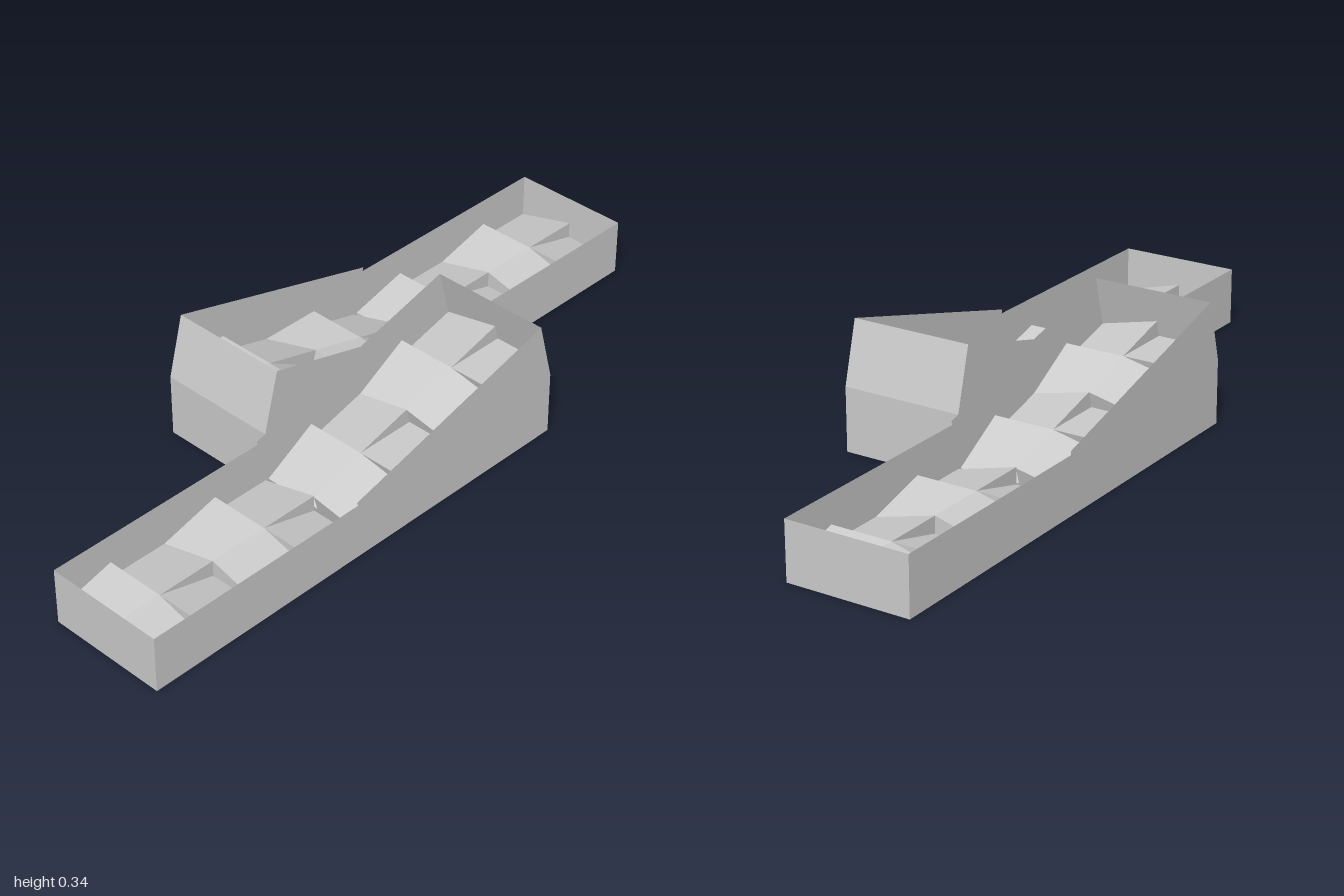
import * as THREE from 'three';

const WIDTH = 0.335;            // width of one lane
const CELL = 1 / 6;             // length of one wedge
const TILT = THREE.MathUtils.degToRad(15);
const BASE = 0.033;             // low edge of a wedge
const RISE = CELL * Math.tan(TILT);
const FLAT_WALL = 0.155;        // wall height beside the flat half
const RAMP_WALL = 0.171;        // wall height beside the tilted half
const RAMP_Z = 0.314;           // hinge of the tilted half
const END_Z = -0.33;

const material = new THREE.MeshStandardMaterial({
  color: 0xcccccc, flatShading: true, side: THREE.DoubleSide,
});

function add(parent, name, geometry, x = 0, y = 0, z = 0) {
  const mesh = new THREE.Mesh(geometry, material);
  mesh.name = name;
  mesh.position.set(x, y, z);
  parent.add(mesh);
  return mesh;
}

// Block whose top slopes up towards (dirX, dirZ)
function wedgeGeometry(dirX, dirZ) {
  const w = WIDTH / 2;
  const geometry = new THREE.BoxGeometry(w, 1, CELL);
  const p = geometry.attributes.position;
  for (let i = 0; i < p.count; i++) {
    const along = 0.5 + dirX * p.getX(i) / w + dirZ * p.getZ(i) / CELL;
    p.setY(i, p.getY(i) > 0 ? BASE + RISE * along : 0.002);
  }
  geometry.computeVertexNormals();
  return geometry;
}

// Four rows of paired wedges, alternating pitch and roll, running towards -z
function wedgeField(name) {
  const field = new THREE.Group();
  field.name = name;
  for (let row = 0; row < 4; row++) {
    const z = -(row + 0.5) * CELL;
    const even = row % 2 === 0;
    add(field, even ? 'pitchWedge' : 'rollWedge',
      even ? wedgeGeometry(0, -1) : wedgeGeometry(1, 0), WIDTH * 0.25, 0, z);
    add(field, even ? 'rollWedge' : 'pitchWedge',
      even ? wedgeGeometry(-1, 0) : wedgeGeometry(0, 1), WIDTH * 0.75, 0, z);
  }
  return field;
}

// Side panel outline in (z, y)
function sidePanelGeometry() {
  const sin = Math.sin(TILT), cos = Math.cos(TILT);
  const lean = RAMP_WALL * sin, top = RAMP_WALL * cos;
  const endY = 4 * CELL * sin;
  const outline = [
    [1, 0], [1, FLAT_WALL], [RAMP_Z + FLAT_WALL * Math.tan(TILT), FLAT_WALL],
    [RAMP_Z + lean, top], [END_Z + lean, endY + top], [END_Z, endY], [END_Z, 0],
  ];
  const shape = new THREE.Shape(outline.map(([z, y]) => new THREE.Vector2(z, y)));
  return new THREE.ShapeGeometry(shape).rotateY(-Math.PI / 2);
}

function createLane(name) {
  const lane = new THREE.Group();
  lane.name = name;

  // Thin outer panels
  add(lane, 'innerSidePanel', sidePanelGeometry());
  add(lane, 'outerSidePanel', sidePanelGeometry(), WIDTH);
  add(lane, 'frontPanel', new THREE.PlaneGeometry(WIDTH, FLAT_WALL), WIDTH / 2, FLAT_WALL / 2, 1);
  const endHeight = 4 * CELL * Math.sin(TILT);
  add(lane, 'endPanel', new THREE.PlaneGeometry(WIDTH, endHeight).rotateY(Math.PI),
    WIDTH / 2, endHeight / 2, END_Z);
  add(lane, 'floorPanel', new THREE.PlaneGeometry(WIDTH, 1 - END_Z).rotateX(Math.PI / 2),
    WIDTH / 2, 0, (1 + END_Z) / 2);

  // Flat half
  const flat = wedgeField('flatWedges');
  flat.position.z = 1;
  lane.add(flat);

  // Tilted half with its leaning end panel
  const ramp = wedgeField('rampWedges');
  add(ramp, 'leaningEndPanel', new THREE.PlaneGeometry(WIDTH, RAMP_WALL),
    WIDTH / 2, RAMP_WALL / 2, -4 * CELL);
  ramp.position.z = RAMP_Z;
  ramp.rotation.x = TILT;
  lane.add(ramp);
  return lane;
}

export function createModel() {
  const model = new THREE.Group();
  model.name = 'rampCourse';
  const left = createLane('leftLane');
  const right = createLane('rightLane');
  right.rotation.y = Math.PI; // same lane, turned half way round
  model.add(left, right);
  return model;
}
